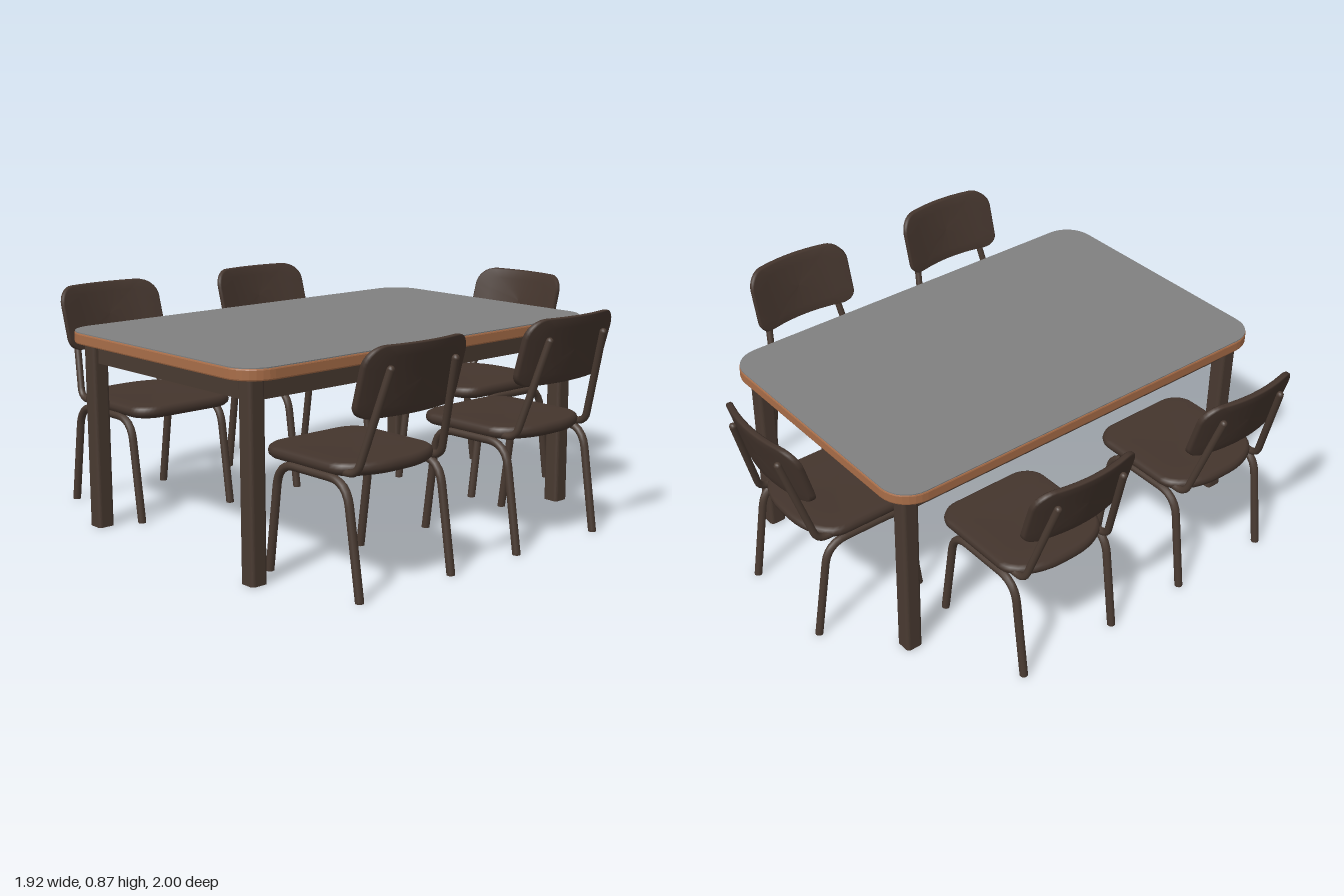
import * as THREE from 'three';

const mat = (name, color) => Object.assign(new THREE.MeshStandardMaterial({ color }), { name });
const greyTop = mat('grey laminate', 0x808080);
const wood = mat('warm wood edge', 0xa86d48);
const darkWood = mat('dark wood', 0x44352d);
const darkFrame = mat('dark frame', 0x493a31);

function add(parent, name, geometry, material, x = 0, y = 0, z = 0) {
  const mesh = new THREE.Mesh(geometry, material);
  mesh.name = name;
  mesh.position.set(x, y, z);
  parent.add(mesh);
  return mesh;
}

// Counter-clockwise rounded rectangle; top and bottom corners have [rx, ry] radii
function outline(halfW, bottom, top, [tx, ty], [bx, by]) {
  const corners = [
    [halfW - tx, top - ty, tx, ty], [-halfW + tx, top - ty, tx, ty],
    [-halfW + bx, bottom + by, bx, by], [halfW - bx, bottom + by, bx, by],
  ];
  const points = [];
  corners.forEach(([cx, cy, rx, ry], k) => {
    for (let i = 0; i <= 8; i++) {
      const a = (k + i / 8) * Math.PI / 2;
      points.push(new THREE.Vector2(cx + rx * Math.cos(a), cy + ry * Math.sin(a)));
    }
  });
  // Subdivide the long straight edges so the panel can bend
  return points.flatMap((p, i) => {
    const q = points[(i + 1) % points.length];
    const n = Math.max(1, Math.ceil(p.distanceTo(q) / 0.05));
    return Array.from({ length: n }, (_, j) => p.clone().lerp(q, j / n));
  });
}

// Closed cushion-like solid: the outline repeated at [scale, height] rings
function loft(points, rings, cx = 0, cy = 0) {
  const n = points.length, pos = [], index = [];
  for (const [s, h] of rings)
    for (const p of points) pos.push(cx + (p.x - cx) * s, cy + (p.y - cy) * s, h);
  for (let r = 0; r < rings.length - 1; r++)
    for (let j = 0; j < n; j++) {
      const a = r * n + j, b = r * n + (j + 1) % n;
      index.push(a, b, b + n, a, b + n, a + n);
    }
  const g = new THREE.BufferGeometry();
  g.setAttribute('position', new THREE.Float32BufferAttribute(pos, 3));
  g.setIndex(index);
  g.computeVertexNormals();
  return g;
}

// Vertical slab with rounded corners, standing on y = 0
function slab(halfW, halfD, radius, height, bevel = 0) {
  const shape = new THREE.Shape(outline(halfW - bevel, -halfD + bevel, halfD - bevel, [radius, radius], [radius, radius]));
  const g = new THREE.ExtrudeGeometry(shape, {
    depth: height - 2 * bevel, bevelEnabled: bevel > 0, bevelSize: bevel, bevelThickness: bevel, bevelSegments: 2,
  });
  return g.translate(0, 0, bevel).rotateX(-Math.PI / 2);
}

// Bent tube through points, with a smooth bend of the given length at each inner point
function bentTube(points, bend, radius) {
  const v = points.map(p => new THREE.Vector3(...p));
  const path = new THREE.CurvePath();
  let start = v[0];
  for (let i = 1; i < v.length - 1; i++) {
    const before = v[i].clone().add(v[i - 1].clone().sub(v[i]).setLength(bend));
    const after = v[i].clone().add(v[i + 1].clone().sub(v[i]).setLength(bend));
    path.add(new THREE.LineCurve3(start, before));
    path.add(new THREE.QuadraticBezierCurve3(before, v[i], after));
    start = after;
  }
  path.add(new THREE.LineCurve3(start, v[v.length - 1]));
  return new THREE.TubeGeometry(path, 48, radius, 10);
}

// Seat: flat-topped panel with a bulging underside and a round back edge
const seatGeometry = loft(
  outline(0.228, -0.31, 0.18, [0.2, 0.12], [0.09, 0.08]),
  [[0.001, 0.387], [0.5, 0.39], [0.82, 0.403], [0.95, 0.412], [0.99, 0.422], [1, 0.434],
    [0.985, 0.448], [0.94, 0.456], [0.6, 0.451], [0.001, 0.448]], 0, -0.065,
).rotateX(-Math.PI / 2);

// Backrest: rounded panel, leaned back and curved around the sitter
const backGeometry = loft(
  outline(0.232, 0.615, 0.865, [0.075, 0.07], [0.06, 0.05]),
  [[0.001, -0.014], [0.35, -0.014], [0.7, -0.014], [0.97, -0.014], [1, -0.008],
    [1, 0.008], [0.97, 0.014], [0.7, 0.014], [0.35, 0.014], [0.001, 0.014]], 0, 0.74,
);
const bp = backGeometry.attributes.position;
for (let i = 0; i < bp.count; i++) {
  const x = bp.getX(i), y = bp.getY(i);
  bp.setZ(i, bp.getZ(i) - 0.286 + (0.865 - y) * 0.286 + 0.042 * (x / 0.232) ** 2);
}
backGeometry.computeVertexNormals();

function createChair(name, x, z, turn) {
  const chair = new THREE.Group();
  chair.name = name;
  add(chair, 'seat', seatGeometry, darkWood);
  add(chair, 'backrest', backGeometry, darkWood);
  for (const s of [-1, 1]) {
    const lx = s * 0.215;
    // Front and back leg in one bent tube
    add(chair, 'legTube', bentTube([
      [lx, 0.004, -0.197], [lx, 0.402, -0.135], [lx, 0.402, 0.212], [lx, 0.004, 0.268],
    ], 0.085, 0.0155), darkFrame);
    for (const fz of [-0.197, 0.268])
      add(chair, 'foot', new THREE.CylinderGeometry(0.0155, 0.0155, 0.008, 10), darkFrame, lx, 0.004, fz);
    // Rail under the seat that turns up to carry the backrest
    add(chair, 'backSupport', bentTube([
      [s * 0.195, 0.425, 0.15], [s * 0.195, 0.425, -0.162], [s * 0.148, 0.785, -0.271],
    ], 0.04, 0.014), darkFrame);
    add(chair, 'supportCap', new THREE.SphereGeometry(0.014, 10, 8), darkFrame, s * 0.148, 0.785, -0.271);
  }
  chair.position.set(x, 0, z);
  chair.rotation.y = turn;
  return chair;
}

function createTable() {
  const table = new THREE.Group();
  table.name = 'table';
  add(table, 'tabletop', slab(0.56, 0.875, 0.115, 0.043, 0.006), wood, 0, 0.719, 0);
  add(table, 'tabletopSurface', slab(0.556, 0.871, 0.113, 0.004), greyTop, 0, 0.761, 0);
  const legX = 0.468, legZ = 0.786;
  for (const s of [-1, 1]) {
    for (const t of [-1, 1])
      add(table, 'tableLeg', slab(0.034, 0.034, 0.014, 0.72), darkFrame, s * legX, 0, t * legZ);
    add(table, 'sideApron', new THREE.BoxGeometry(0.026, 0.08, 2 * legZ - 0.06), darkFrame, s * legX, 0.68, 0);
    add(table, 'endApron', new THREE.BoxGeometry(2 * legX - 0.06, 0.08, 0.026), darkFrame, 0, 0.68, s * legZ);
  }
  table.position.z = 0.125;
  return table;
}

export function createModel() {
  const model = new THREE.Group();
  model.name = 'diningSet';
  model.add(
    createTable(),
    createChair('backChair', 0, -0.7, 0),
    createChair('rightFrontChair', -0.66, 0.565, Math.PI / 2),
    createChair('rightBackChair', -0.66, -0.22, Math.PI / 2),
    createChair('leftFrontChair', 0.66, 0.565, -Math.PI / 2),
    createChair('leftBackChair', 0.66, -0.205, -Math.PI / 2),
  );
  return model;
}
